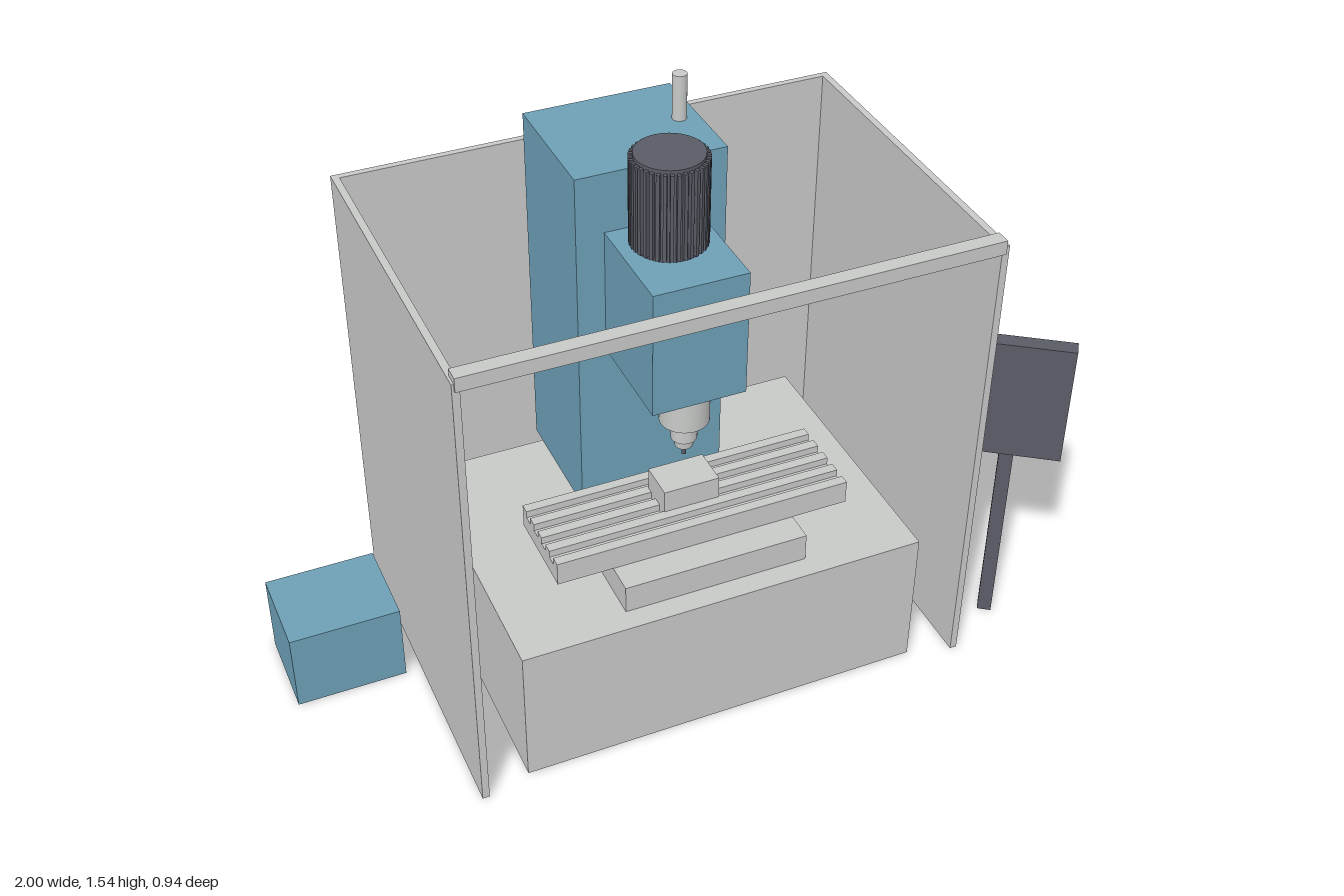
import * as THREE from 'three';

const material = (name, color) => {
  const m = new THREE.MeshStandardMaterial({ color });
  m.name = name;
  return m;
};

export function createModel() {
  const grey = material('light grey', 0xc8cac8);
  const blue = material('steel blue', 0x6ea0b7);
  const dark = material('dark grey', 0x5a5c66);
  const model = new THREE.Group();
  model.name = 'millingMachine';

  const add = (name, geometry, mat, parent = model) => {
    const mesh = new THREE.Mesh(geometry, mat);
    mesh.name = name;
    parent.add(mesh);
    return mesh;
  };
  // Box given by its minimum and maximum on each axis
  const box = (name, mat, [x0, x1], [y0, y1], [z0, z1], parent = model) => {
    const mesh = add(name, new THREE.BoxGeometry(x1 - x0, y1 - y0, z1 - z0), mat, parent);
    mesh.position.set((x0 + x1) / 2, (y0 + y1) / 2, (z0 + z1) / 2);
    return mesh;
  };
  // Upright cylinder or cone from y0 to y1
  const cylinder = (name, mat, x, z, y0, y1, r0, r1 = r0, parent = model) => {
    const mesh = add(name, new THREE.CylinderGeometry(r1, r0, y1 - y0, 32), mat, parent);
    mesh.position.set(x, (y0 + y1) / 2, z);
    return mesh;
  };

  // Enclosure: two sides, a back and a front tie bar, open above and below
  const enclosure = new THREE.Group();
  enclosure.name = 'enclosure';
  model.add(enclosure);
  box('rightWall', grey, [-0.656, -0.637], [0, 1.315], [-0.473, 0.464], enclosure);
  box('leftWall', grey, [0.707, 0.726], [0, 1.315], [-0.473, 0.464], enclosure);
  box('backWall', grey, [-0.637, 0.707], [0, 1.315], [-0.473, -0.455], enclosure);
  box('frontBar', grey, [-0.65, 0.715], [1.296, 1.334], [0.43, 0.47], enclosure);

  // Bed and saddle
  box('base', grey, [-0.52, 0.59], [0, 0.405], [-0.36, 0.43]);
  box('saddle', grey, [-0.22, 0.285], [0.405, 0.484], [-0.03, 0.37]);

  // Slotted table: notched cross-section extruded along x
  const slots = 4, depth = 0.246, height = 0.066, cut = 0.02;
  const step = depth / (slots * 2 + 1);
  const section = new THREE.Shape();
  section.moveTo(-depth / 2, 0).lineTo(depth / 2, 0).lineTo(depth / 2, height);
  for (let i = 1; i <= slots; i++) {
    const a = depth / 2 - step * (2 * i - 1), b = a - step;
    section.lineTo(a, height).lineTo(a, height - cut).lineTo(b, height - cut).lineTo(b, height);
  }
  section.lineTo(-depth / 2, height).closePath();
  const tableGeometry = new THREE.ExtrudeGeometry(section, { depth: 0.81, bevelEnabled: false });
  tableGeometry.rotateY(Math.PI / 2);
  add('table', tableGeometry, grey).position.set(-0.37, 0.484, 0.166);
  box('vise', grey, [-0.045, 0.108], [0.529, 0.613], [0.105, 0.21]);

  // Column, head and coolant pipe
  box('column', blue, [-0.167, 0.236], [0.405, 1.416], [-0.41, -0.058]);
  box('head', blue, [-0.092, 0.16], [0.898, 1.25], [-0.058, 0.241]);
  cylinder('pipe', grey, 0.185, -0.235, 1.41, 1.54, 0.019);
  const knob = cylinder('knob', dark, 0.17, 0.142, 0.973, 0.997, 0.012);
  knob.rotation.z = Math.PI / 2;

  // Motor with cooling fins
  const motor = new THREE.Group();
  motor.name = 'motor';
  motor.position.set(0.035, 0, 0.045);
  model.add(motor);
  cylinder('motorCore', dark, 0, 0, 1.25, 1.503, 0.088, 0.088, motor);
  const fins = 36;
  for (let i = 0; i < fins; i++) {
    const a = (i / fins) * Math.PI * 2;
    const fin = add('motorFin', new THREE.BoxGeometry(0.016, 0.236, 0.009), dark, motor);
    fin.position.set(Math.cos(a) * 0.091, 1.376, Math.sin(a) * 0.091);
    fin.rotation.y = -a;
  }

  // Spindle, collet and cutter
  const sx = 0.034, sz = 0.15;
  cylinder('spindle', grey, sx, sz, 0.79, 0.9, 0.065);
  cylinder('toolHolder', grey, sx, sz, 0.73, 0.79, 0.034);
  cylinder('collet', grey, sx, sz, 0.705, 0.73, 0.024, 0.027);
  cylinder('cutter', dark, sx, sz, 0.675, 0.705, 0.006);

  // Angled control panel on its post
  const controls = new THREE.Group();
  controls.name = 'controls';
  controls.position.set(0.869, 0, 0.372);
  controls.rotation.y = -THREE.MathUtils.degToRad(35);
  model.add(controls);
  box('panel', dark, [-0.14, 0.14], [0.585, 0.935], [-0.022, 0.022], controls);
  box('post', dark, [-0.019, 0.019], [0, 0.585], [-0.045, -0.007], controls);

  // Coolant tank
  box('tank', blue, [-1, -0.7], [0, 0.23], [-0.287, -0.037]);

  return model;
}
